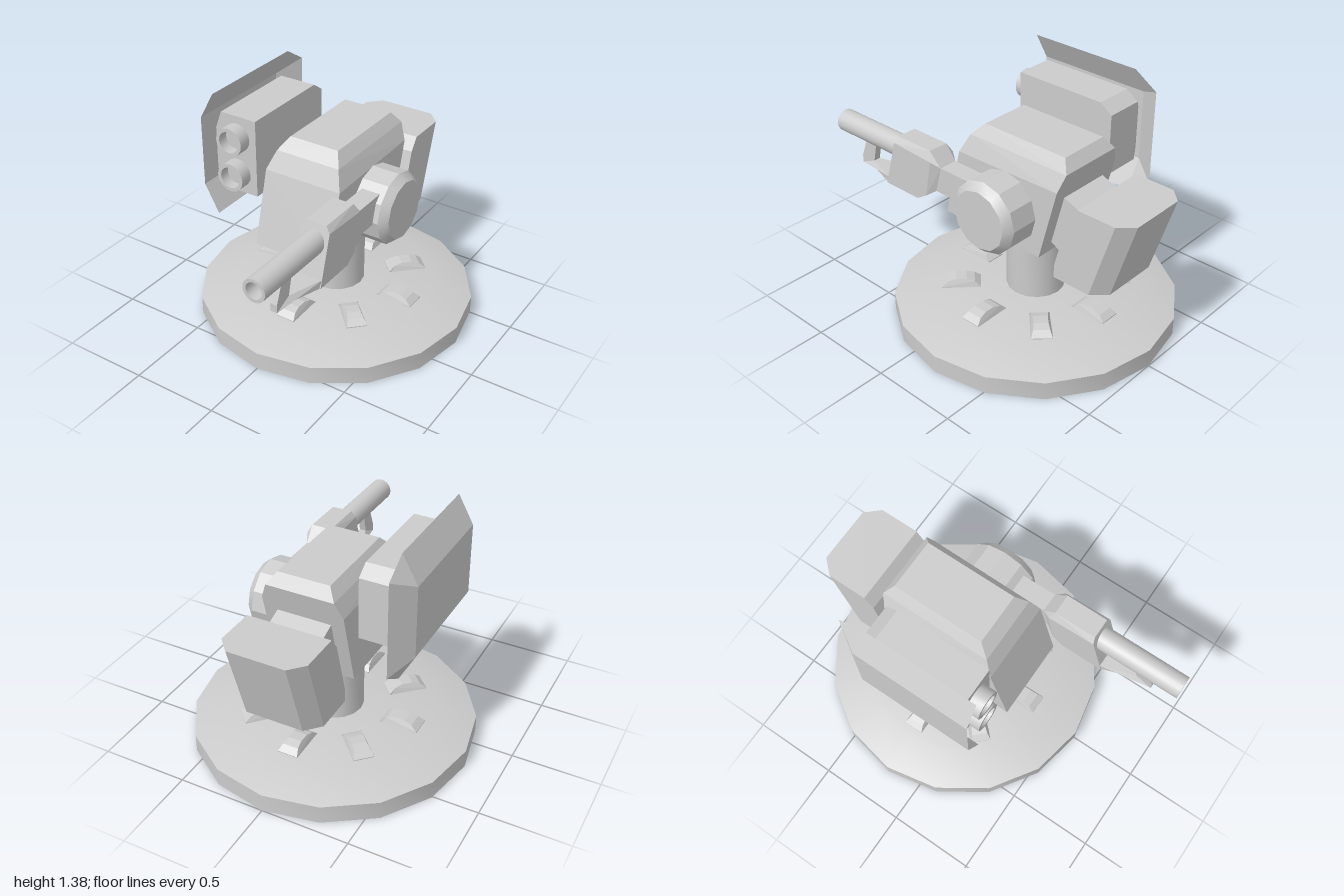
import * as THREE from 'three';
import { toCreasedNormals } from 'three/addons/utils/BufferGeometryUtils.js';
import { ConvexGeometry } from 'three/addons/geometries/ConvexGeometry.js';

const solid = new THREE.MeshStandardMaterial({ color: 0xcccccc });
const open = new THREE.MeshStandardMaterial({ color: 0xcccccc, side: THREE.DoubleSide });

function add(parent, name, geometry, material = solid) {
  const mesh = new THREE.Mesh(geometry, material);
  mesh.name = name;
  parent.add(mesh);
  return mesh;
}

// Faceted convex block, mirrored about x = cx, from [halfWidth, y, z] corners
function block(corners, cx = 0) {
  const points = corners.flatMap(([w, y, z]) => [
    new THREE.Vector3(cx + w, y, z), new THREE.Vector3(cx - w, y, z)]);
  return new ConvexGeometry(points);
}

// Turned part from [radius, height] points, with sharp rims
function turned(profile, sides) {
  const points = profile.map(([r, h]) => new THREE.Vector2(r, h));
  return toCreasedNormals(new THREE.LatheGeometry(points, sides), 0.5);
}

// Side profile of [z, y] points extruded along x, with half-width given by a rule
function sideExtrude(profile, halfWidth) {
  const shape = new THREE.Shape(profile.map(([z, y]) => new THREE.Vector2(-z, y)));
  const g = new THREE.ExtrudeGeometry(shape, { depth: 2, bevelEnabled: false });
  g.translate(0, 0, -1).rotateY(Math.PI / 2);
  const p = g.attributes.position;
  for (let i = 0; i < p.count; i++) {
    p.setX(i, Math.sign(p.getX(i)) * halfWidth(p.getZ(i), p.getY(i)));
  }
  const flat = g.toNonIndexed();
  flat.computeVertexNormals();
  return flat;
}

// Thin open panels from polygon loops
function panels(loops) {
  const verts = [];
  for (const loop of loops) {
    for (let i = 1; i < loop.length - 1; i++) verts.push(...loop[0], ...loop[i], ...loop[i + 1]);
  }
  const g = new THREE.BufferGeometry();
  g.setAttribute('position', new THREE.Float32BufferAttribute(verts, 3));
  g.computeVertexNormals();
  return g;
}

function buildBase() {
  const base = new THREE.Group();
  base.name = 'base';
  base.position.z = -0.2;
  add(base, 'basePlate', turned([[0.8, 0], [0.8, 0.105], [0.57, 0.17], [0, 0.17]], 16), open);
  add(base, 'pillar', turned([[0.165, 0.15], [0.165, 0.6]], 16), open);

  // Ring of arched pads with narrower tops
  const arch = [[0.31, 0.155], [0.31, 0.175], [0.345, 0.203], [0.39, 0.216],
    [0.45, 0.216], [0.495, 0.203], [0.53, 0.175], [0.53, 0.155]];
  const pad = sideExtrude(arch, (z, y) => 0.06 - Math.max(0, y - 0.17) * 0.45);
  for (let i = 0; i < 8; i++) add(base, 'basePad', pad).rotation.y = i * Math.PI / 4;
  return base;
}

function buildGun() {
  const gun = new THREE.Group();
  gun.name = 'gun';
  gun.position.x = 0.31;
  add(gun, 'gunArm', block([
    [0.055, 0.755, -0.1], [0.055, 0.91, -0.1], [0.055, 0.755, 0.22], [0.055, 0.91, 0.19]]));
  // Receiver flares out from the arm, with chamfered top edges
  add(gun, 'gunReceiver', block([
    [0.055, 0.91, 0.16], [0.055, 0.755, 0.2], [0.085, 0.94, 0.21], [0.085, 0.72, 0.25],
    [0.06, 0.99, 0.233], [0.06, 0.99, 0.48], [0.085, 0.955, 0.49],
    [0.085, 0.675, 0.32], [0.085, 0.675, 0.57]]));
  // Forward guard tapers to a thin upright
  const guard = [[0.55, 0.675], [0.75, 0.675], [0.85, 0.675], [0.85, 0.72], [0.81, 0.825],
    [0.726, 0.825], [0.75, 0.72], [0.55, 0.72]];
  add(gun, 'gunGuard', sideExtrude(guard,
    z => THREE.MathUtils.clamp(0.085 - (z - 0.56) * 0.4, 0.02, 0.085)));
  const barrel = add(gun, 'barrel', turned(
    [[0.065, 0.45], [0.065, 1], [0.047, 1], [0.047, 0.9], [0, 0.9]], 20), open);
  barrel.rotation.x = Math.PI / 2;
  barrel.position.y = 0.89;
  return gun;
}

function buildPod() {
  const pod = new THREE.Group();
  pod.name = 'launcherPod';
  // Box with sloped outer edges and chamfered rear edges
  const corners = [];
  for (const s of [-1, 1]) {
    const c = (x, dy, z) => corners.push(new THREE.Vector3(x, 1.018 + s * dy, z));
    for (const x of [-0.28, -0.507]) {
      c(x, 0.228, 0.175);
      c(x, 0.228, -0.385);
      c(x, 0.175, -0.46);
    }
    c(-0.545, 0.125, 0.175);
    c(-0.545, 0.125, -0.44);
  }
  add(pod, 'podBox', new ConvexGeometry(corners));

  const tube = turned([[0.083, 0.16], [0.083, 0.25], [0.062, 0.25], [0.062, 0.19], [0, 0.19]], 20);
  for (const y of [0.905, 1.12]) {
    const m = add(pod, 'launchTube', tube, open);
    m.rotation.x = Math.PI / 2;
    m.position.set(-0.405, y, 0);
  }

  // Shield: flat centre with inward-flared top, bottom and rear
  const y0 = 1.015;
  const loops = [[[-0.585, y0 - 0.205, 0.25], [-0.585, y0 + 0.205, 0.25],
    [-0.585, y0 + 0.205, -0.44], [-0.585, y0 - 0.205, -0.44]]];
  for (const s of [-1, 1]) {
    const front = [-0.585, y0 + s * 0.205, 0.25], back = [-0.585, y0 + s * 0.205, -0.44];
    const rimFront = [-0.497, y0 + s * 0.365, 0.25], rimBack = [-0.497, y0 + s * 0.365, -0.44];
    const corner = [-0.497, y0 + s * 0.275, -0.58];
    const faces = [[front, rimFront, rimBack, back], [back, rimBack, corner]];
    loops.push(...(s > 0 ? faces : faces.map(f => f.reverse())));
  }
  loops.push([[-0.585, y0 - 0.205, -0.44], [-0.585, y0 + 0.205, -0.44],
    [-0.497, y0 + 0.275, -0.58], [-0.497, y0 - 0.275, -0.58]]);
  add(pod, 'shield', panels(loops), open);
  return pod;
}

export function createModel() {
  const model = new THREE.Group();
  model.name = 'turret';
  model.add(buildBase());

  // Main housing
  add(model, 'housing', block([
    [0.235, 0.545, 0.26], [0.235, 0.965, 0.15], [0.195, 1.072, 0.1], [0.15, 1.14, 0.035],
    [0.235, 0.545, -0.42], [0.235, 0.98, -0.532], [0.195, 1.075, -0.557], [0.15, 1.14, -0.51]]));

  // Rear box and its neck
  add(model, 'rearNeck', block([
    [0.155, 0.92, -0.5], [0.155, 0.87, -0.63], [0.155, 0.62, -0.42], [0.155, 0.555, -0.55]]));
  add(model, 'rearBox', block([
    [0.24, 0.477, -0.53], [0.24, 0.55, -0.53], [0.24, 0.87, -0.615], [0.24, 0.943, -0.667],
    [0.24, 0.943, -0.9], [0.165, 0.943, -0.98], [0.24, 0.477, -0.76], [0.165, 0.477, -0.84]]));

  // Side hub carrying the gun
  const hub = add(model, 'gunHub', turned(
    [[0, 0.2], [0.21, 0.2], [0.21, 0.395], [0.17, 0.44], [0, 0.44]], 12));
  hub.rotation.z = -Math.PI / 2;
  hub.position.set(0, 0.766, -0.185);

  model.add(buildGun(), buildPod());
  return model;
}
